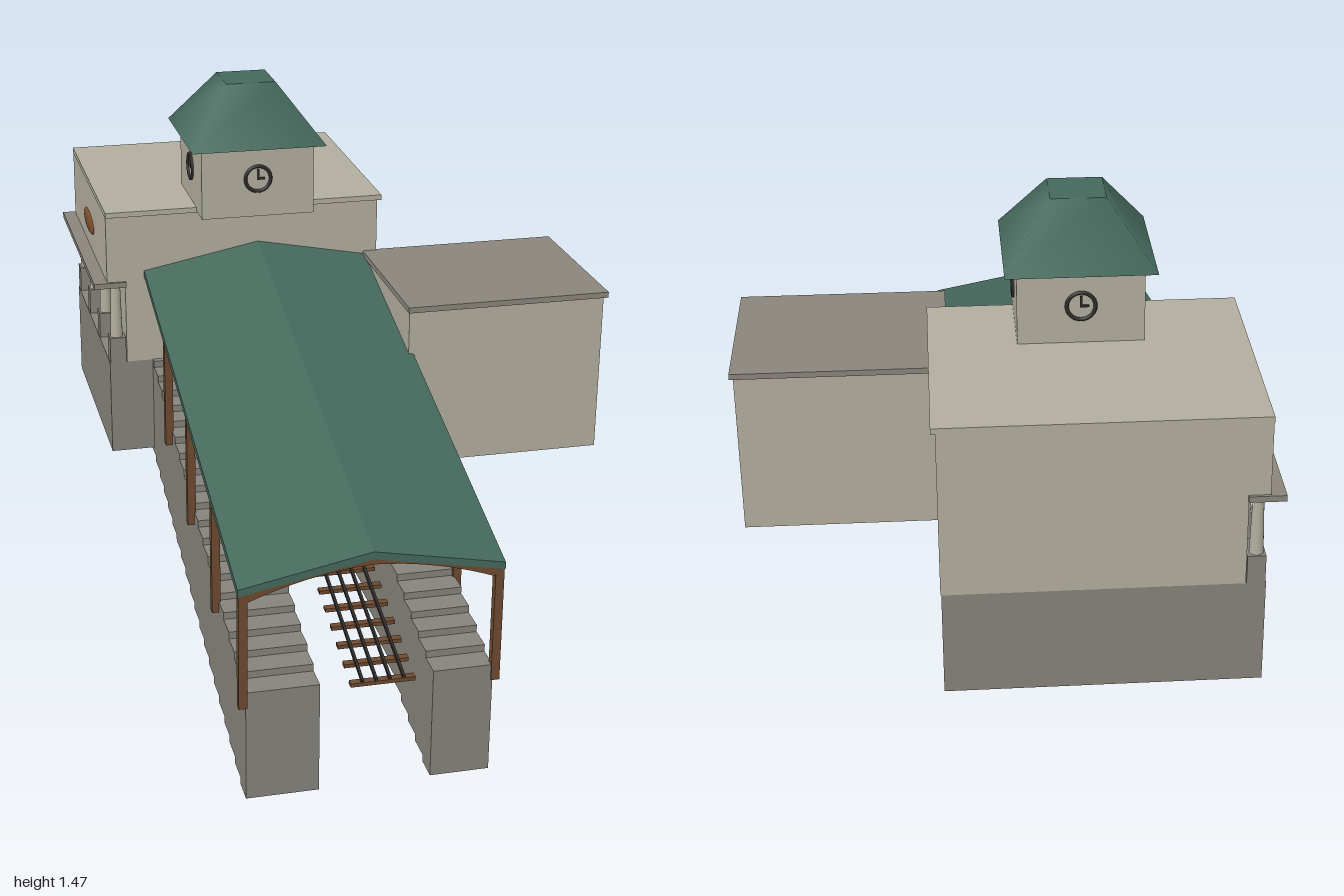
import * as THREE from 'three';

const mat = (name, color, extra = {}) => {
  const m = new THREE.MeshStandardMaterial({ color, ...extra });
  m.name = name;
  return m;
};

export function createModel() {
  const wall = mat('pale plaster', 0xb2ae9e);
  const stone = mat('grey stone', 0x86837b);
  const slab = mat('slab grey', 0x8a857c);
  const green = mat('green roofing', 0x45695c);
  const wood = mat('brown timber', 0x6e4a30);
  const dark = mat('dark iron', 0x2e2c2a);
  const doorPaint = mat('slate door', 0x50555c);
  const copper = mat('copper window', 0x80502f);

  const model = new THREE.Group();
  model.name = 'hillsideStation';
  const body = new THREE.Group();
  body.name = 'station';
  body.rotation.y = THREE.MathUtils.degToRad(35);
  model.add(body);

  const add = (name, geo, m, parent = body) => {
    const mesh = new THREE.Mesh(geo, m);
    mesh.name = name;
    parent.add(mesh);
    return mesh;
  };
  // Box given by its limits on each axis
  const box = (name, m, x0, x1, y0, y1, z0, z1, parent) => {
    const mesh = add(name, new THREE.BoxGeometry(x1 - x0, y1 - y0, z1 - z0), m, parent);
    mesh.position.set((x0 + x1) / 2, (y0 + y1) / 2, (z0 + z1) / 2);
    return mesh;
  };
  // Everything on the incline drops towards +z by this slope
  const slope = 0.272, frontZ = 1.01, backZ = -0.276;
  const drop = (z) => (frontZ - z) * slope;
  const incline = (geo) => {
    const p = geo.attributes.position;
    for (let i = 0; i < p.count; i++) p.setY(i, p.getY(i) + drop(p.getZ(i)));
    geo.computeVertexNormals();
    return geo;
  };

  // Main building
  box('base', stone, -0.39, 0.398, 0.38, 0.66, -0.938, -0.277);
  box('lowerWall', wall, -0.34, 0.4, 0.66, 0.9, -0.94, -0.277);
  box('upperWall', wall, -0.392, 0.4, 0.9, 1.1, -0.94, -0.277);
  box('mainRoof', wall, -0.393, 0.411, 1.1, 1.115, -0.941, -0.27);

  // Porch along the left-hand wall
  box('porchCanopy', slab, -0.43, -0.338, 0.89, 0.906, -0.948, -0.27);
  for (let i = 0; i < 4; i++) {
    const z = -0.917 + i * 0.206;
    box('pedestal', stone, -0.388, -0.342, 0.66, 0.735, z - 0.022, z + 0.022);
    add('column', new THREE.CylinderGeometry(0.014, 0.018, 0.155, 16), wall)
      .position.set(-0.366, 0.8125, z);
  }
  box('door', doorPaint, -0.346, -0.339, 0.66, 0.885, -0.485, -0.395);
  const oval = add('ovalWindow', new THREE.SphereGeometry(1, 24, 12), copper);
  oval.scale.set(0.009, 0.031, 0.095);
  oval.position.set(-0.392, 0.983, -0.615);

  // Side building
  box('sideWall', wall, 0.365, 0.922, 0.48, 0.93, -0.278, 0.195);
  box('sideRoof', slab, 0.36, 0.932, 0.93, 0.946, -0.284, 0.205);

  // Clock tower
  const tower = new THREE.Group();
  tower.name = 'clockTower';
  tower.position.set(0.028, 0, -0.347);
  body.add(tower);
  box('towerWall', wall, -0.16, 0.16, 1.105, 1.31, -0.16, 0.16, tower);
  const cap = add('towerRoof',
    new THREE.CylinderGeometry(0.07 * Math.SQRT2, 0.19 * Math.SQRT2, 0.16, 4), green, tower);
  cap.rotation.y = Math.PI / 4;
  cap.position.y = 1.385;
  for (let i = 0; i < 4; i++) {
    const clock = new THREE.Group();
    clock.name = 'clock';
    clock.rotation.y = i * Math.PI / 2;
    tower.add(clock);
    add('clockRing', new THREE.TorusGeometry(0.036, 0.005, 8, 32), dark, clock)
      .position.set(0, 1.215, 0.162);
    box('minuteHand', dark, -0.003, 0.003, 1.212, 1.242, 0.16, 0.164, clock);
    box('hourHand', dark, -0.003, 0.02, 1.212, 1.218, 0.16, 0.164, clock);
  }

  // Two stepped flights, saw-toothed above and below
  const steps = 21, run = 0.0665, rise = 0.019, pts = [];
  for (let i = 0; i < steps; i++) {
    const z = 1.005 - i * run, y = 0.3 + i * rise;
    pts.push(new THREE.Vector2(z, y), new THREE.Vector2(z - run, y));
  }
  for (let i = steps - 1; i >= 0; i--) {
    const z = 1.005 - i * run, y = i * rise;
    pts.push(new THREE.Vector2(z - run, y), new THREE.Vector2(z, y));
  }
  for (const [x0, x1] of [[-0.265, -0.08], [0.207, 0.36]]) {
    const geo = new THREE.ExtrudeGeometry(new THREE.Shape(pts),
      { depth: x1 - x0, bevelEnabled: false });
    geo.rotateY(-Math.PI / 2).translate(x1, 0, 0);
    add('stairFlight', geo, stone);
  }

  // Track of sleepers and rails between the flights
  for (let i = 0; i < 20; i++) {
    const z = 0.985 - i * 0.064, y = 0.268 + drop(z);
    box('sleeper', wood, 0, 0.165, y, y + 0.01, z - 0.01, z + 0.01);
  }
  for (const x of [0.03, 0.065, 0.1, 0.135]) {
    const rail = new THREE.BoxGeometry(0.007, 0.01, 1.26);
    rail.translate(x, 0.283, 0.365);
    add('rail', incline(rail), dark);
  }

  // Gabled canopy over the stairs
  const mid = 0.047, half = 0.332;
  const gable = new THREE.Shape([
    [-half, 0.566], [0, 0.63], [half, 0.566], [half, 0.585], [0, 0.65], [-half, 0.585],
  ].map(([x, y]) => new THREE.Vector2(x, y)));
  const canopy = new THREE.ExtrudeGeometry(gable, { depth: frontZ - backZ, bevelEnabled: false });
  canopy.translate(mid, 0, backZ);
  add('canopyRoof', incline(canopy), green);

  // Posts in pairs, each joined by an arched truss
  const arch = new THREE.Shape();
  arch.moveTo(-0.32, 0.54);
  arch.quadraticCurveTo(-0.16, 0.605, 0, 0.612);
  arch.quadraticCurveTo(0.16, 0.605, 0.32, 0.54);
  arch.lineTo(0.32, 0.57);
  arch.lineTo(0, 0.632);
  arch.lineTo(-0.32, 0.57);
  for (let i = 0; i < 4; i++) {
    const z = 0.998 - i * 0.326, y = drop(z);
    for (const side of [-1, 1]) {
      const x = mid + side * 0.319;
      box('canopyPost', wood, x - 0.011, x + 0.011, 0.255 + y, 0.572 + y, z - 0.011, z + 0.011);
    }
    const truss = new THREE.ExtrudeGeometry(arch,
      { depth: 0.02, bevelEnabled: false, curveSegments: 8 });
    add('canopyTruss', truss, wood).position.set(mid, y, z - 0.01);
  }
  return model;
}
